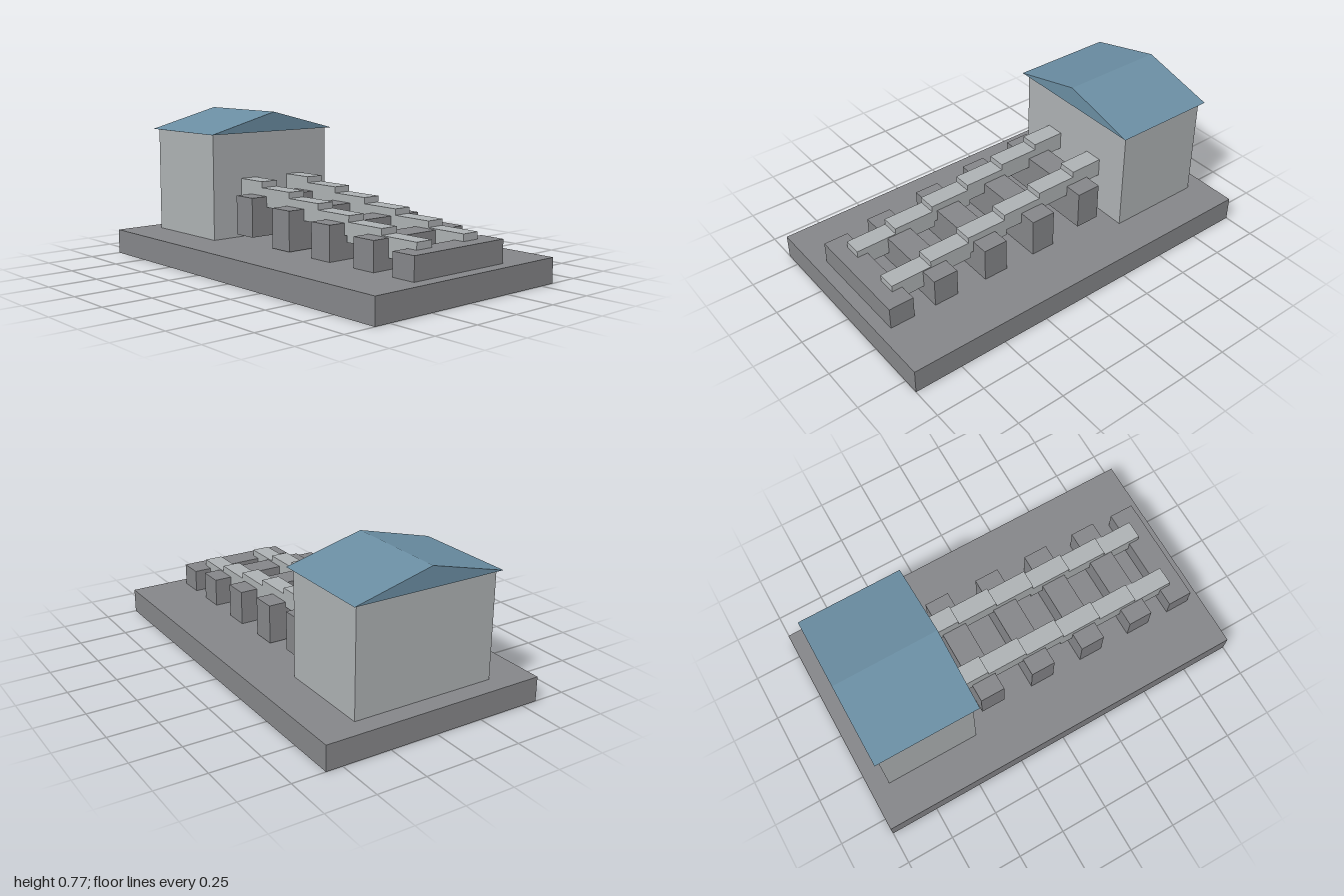
import * as THREE from 'three';

const material = (name, color) => {
  const m = new THREE.MeshStandardMaterial({ color });
  m.name = name;
  return m;
};

export function createModel() {
  const model = new THREE.Group();
  model.name = 'houseWithSteppedRails';
  const darkStone = material('dark stone', 0x858689);
  const paleStone = material('pale stone', 0xadb1b3);
  const roofBlue = material('roof blue', 0x6a8da2);

  // Box given by its lower and upper corners
  const box = (name, mat, [x0, y0, z0], [x1, y1, z1]) => {
    const mesh = new THREE.Mesh(new THREE.BoxGeometry(x1 - x0, y1 - y0, z1 - z0), mat);
    mesh.position.set((x0 + x1) / 2, (y0 + y1) / 2, (z0 + z1) / 2);
    mesh.name = name;
    model.add(mesh);
  };

  // Ground slab and house walls
  box('base', darkStone, [-1, 0, -0.583], [1, 0.127, 0.583]);
  box('houseWalls', paleStone, [-0.9, 0.127, -0.375], [-0.4, 0.67, 0.375]);

  // Gable roof with its ridge along x
  const gable = new THREE.Shape([
    new THREE.Vector2(-0.398, 0.67),
    new THREE.Vector2(0.398, 0.67),
    new THREE.Vector2(0, 0.772),
  ]);
  const roofGeometry = new THREE.ExtrudeGeometry(gable, { depth: 0.546, bevelEnabled: false });
  roofGeometry.rotateY(Math.PI / 2);
  const roof = new THREE.Mesh(roofGeometry, roofBlue);
  roof.position.x = -0.921;
  roof.name = 'roof';
  model.add(roof);

  // Cross blocks, each a little lower than the last
  [-0.252, 0.039, 0.332, 0.623, 0.87].forEach((x, i) => {
    const top = 0.361 - i * 0.0298;
    box(`crossBlock${i + 1}`, darkStone, [x - 0.065, top - 0.2, -0.292], [x + 0.065, top, 0.292]);
  });

  // Two stepped rails descending from the house
  for (const [side, z] of [['left', 0.152], ['right', -0.152]]) {
    for (let i = 0; i < 6; i++) {
      const end = -0.225 + i * 0.217;
      const top = 0.433 - i * 0.0312;
      box(`${side}RailStep${i + 1}`, paleStone, [end - 0.229, top - 0.096, z - 0.048], [end, top, z + 0.048]);
    }
  }
  return model;
}
